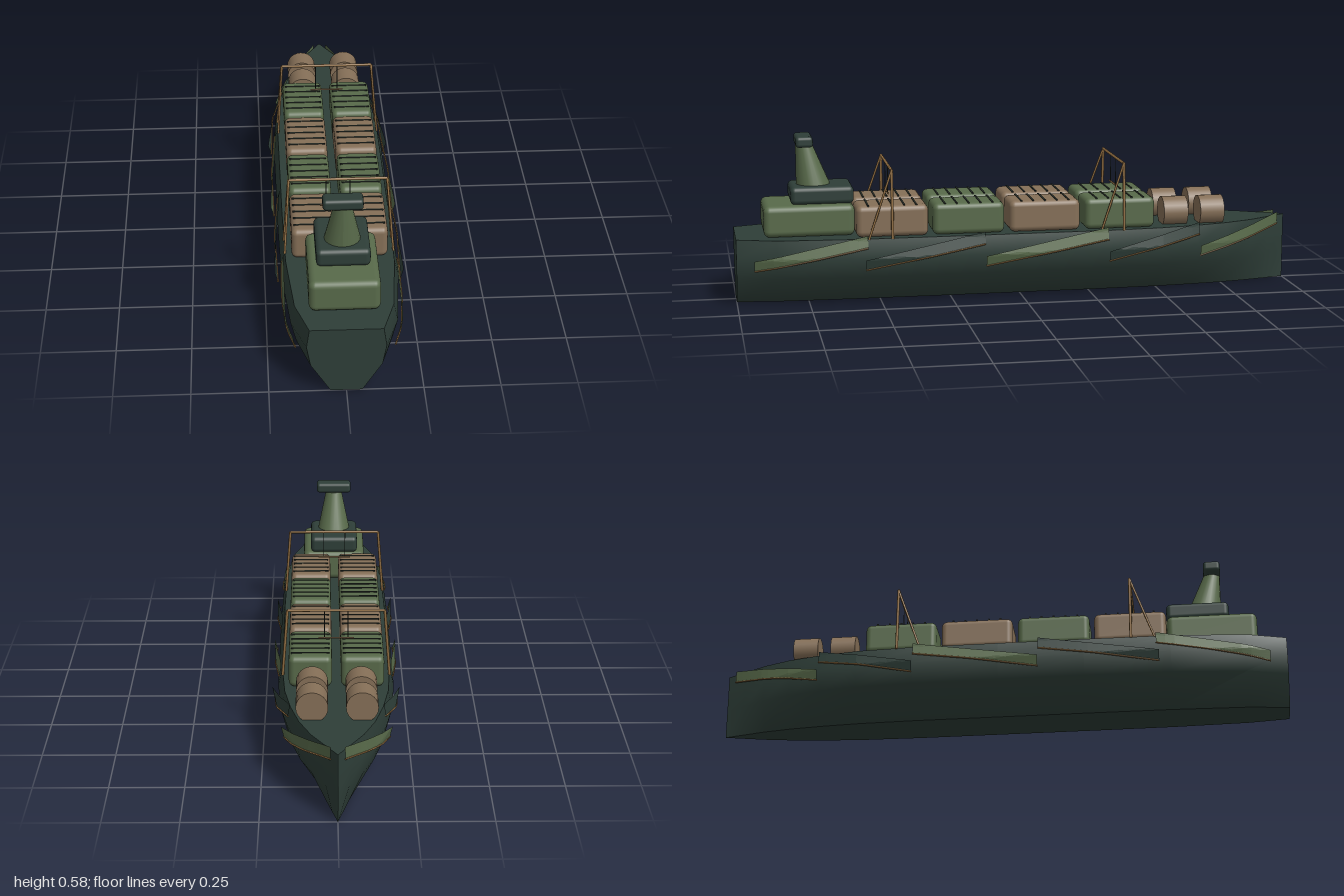
import * as THREE from 'three';
import { toCreasedNormals } from 'three/addons/utils/BufferGeometryUtils.js';
import { RoundedBoxGeometry } from 'three/addons/geometries/RoundedBoxGeometry.js';

const paint = (name, color) => {
  const m = new THREE.MeshStandardMaterial({ color, side: THREE.DoubleSide });
  m.name = name;
  return m;
};

// Hull section: [height, half width at full beam], and beam factor along z
const SECTION = [[0, 0.08], [0.1, 0.18], [0.17, 0.2], [0.235, 0.185]];
const BEAM = [[-1, 0.005], [-0.93, 0.22], [-0.85, 0.46], [-0.75, 0.67], [-0.63, 0.83], [-0.5, 0.94],
  [-0.3, 1], [0, 1], [0.3, 1], [0.6, 0.98], [0.86, 0.87], [1, 0.64]];

function lookup(table, v) {
  let i = 1;
  while (i < table.length - 1 && table[i][0] < v) i++;
  const [a, b] = [table[i - 1], table[i]];
  return THREE.MathUtils.mapLinear(Math.min(v, table[table.length - 1][0]), a[0], b[0], a[1], b[1]);
}
const halfWidth = (y, z) => lookup(SECTION, y) * lookup(BEAM, z);

// Surface through a grid of points, rows of equal length
function gridGeometry(rows, flip = false) {
  const n = rows[0].length, index = [];
  for (let r = 0; r < rows.length - 1; r++) {
    for (let c = 0; c < n - 1; c++) {
      const a = r * n + c, b = a + 1, d = a + n, e = d + 1;
      index.push(...(flip ? [a, d, b, b, d, e] : [a, b, d, b, e, d]));
    }
  }
  const g = new THREE.BufferGeometry();
  g.setAttribute('position', new THREE.Float32BufferAttribute(rows.flat(2), 3));
  g.setIndex(index);
  return g;
}

export function createModel() {
  const model = new THREE.Group();
  model.name = 'cargoShip';
  const dark = paint('hullDarkGreen', 0x2e3e38);
  const green = paint('mossGreen', 0x586a4a);
  const brown = paint('cargoBrown', 0x856f57);
  const trim = paint('trimBronze', 0x8f6c40);
  const line = paint('strapDark', 0x29302a);

  const add = (name, geometry, material, x = 0, y = 0, z = 0, parent = model) => {
    const m = new THREE.Mesh(geometry, material);
    m.name = name;
    m.position.set(x, y, z);
    parent.add(m);
    return m;
  };
  const block = (name, w, h, d, r, material, x, y, z) =>
    add(name, new RoundedBoxGeometry(w, h, d, 3, r), material, x, y + h / 2, z);
  const rod = (name, a, b, r, material, parent) => {
    const from = new THREE.Vector3(...a), to = new THREE.Vector3(...b);
    const dir = to.clone().sub(from);
    const m = add(name, new THREE.CylinderGeometry(r, r, dir.length(), 8), material, 0, 0, 0, parent);
    m.position.copy(from).add(to).multiplyScalar(0.5);
    m.quaternion.setFromUnitVectors(new THREE.Vector3(0, 1, 0), dir.normalize());
  };

  // Hull: closed section loops from bow to stern, then the flat stern
  const loops = BEAM.map(([z, f]) => {
    const right = SECTION.map(([y, w]) => [w * f, y, z]);
    const left = SECTION.map(([y, w]) => [-w * f, y, z]).reverse();
    return [...right, ...left, right[0]];
  });
  add('hull', toCreasedNormals(gridGeometry(loops), 0.6), dark);
  const stern = new THREE.Shape(loops[loops.length - 1].map(([x, y]) => new THREE.Vector2(x, y)));
  add('stern', new THREE.ShapeGeometry(stern), dark, 0, 0, 1);

  // Overlapping side plates, each flared at its aft end and edged below
  const plates = [[0.94, 0.55], [0.56, 0.14], [0.14, -0.3], [-0.3, -0.64], [-0.64, -0.97]];
  for (const side of [1, -1]) {
    plates.forEach(([z0, z1], i) => {
      const rows = [], edge = [];
      for (let k = 0; k <= 12; k++) {
        const t = k / 12, z = z0 + (z1 - z0) * t;
        const low = 0.13 + 0.075 * t, high = 0.167 + 0.08 * t;
        const flare = 0.005 + 0.017 * (1 - t);
        const row = [0, 0.25, 0.5, 0.75, 1].map((u) => {
          const y = low + (high - low) * u;
          return [side * (halfWidth(y, z) + flare), y, z];
        });
        rows.push(row);
        edge.push(new THREE.Vector3(...row[0]));
      }
      add('sidePlate', gridGeometry(rows, side > 0), i % 2 ? dark : green);
      add('plateEdge', new THREE.TubeGeometry(new THREE.CatmullRomCurve3(edge), 24, 0.003, 6), trim);
    });
  }

  // Cargo containers with straps over the top
  [-0.348, -0.078, 0.193, 0.461].forEach((z, i) => {
    for (const x of [-0.088, 0.088]) {
      block('container', 0.146, 0.11, 0.252, 0.02, i % 2 ? brown : green, x, 0.235, z);
      for (let k = -2; k <= 2; k++) {
        add('containerStrap', new THREE.BoxGeometry(0.13, 0.004, 0.006), line, x, 0.345, z + k * 0.042);
      }
    }
  });

  // Drums lying on the foredeck
  const drum = new THREE.CylinderGeometry(0.053, 0.053, 0.088, 24).rotateX(Math.PI / 2);
  for (const z of [-0.56, -0.694]) {
    for (const x of [-0.082, 0.082]) add('drum', drum, brown, x, 0.278, z);
  }

  // Deckhouse and bridge
  block('deckhouse', 0.232, 0.11, 0.316, 0.022, green, 0, 0.235, 0.745);
  block('bridge', 0.177, 0.062, 0.22, 0.017, dark, 0, 0.343, 0.697);

  // Funnel: tapered, with an upright aft side
  const funnel = new THREE.CylinderGeometry(0.03, 0.06, 0.14, 20, 1);
  const p = funnel.attributes.position;
  for (let i = 0; i < p.count; i++) p.setZ(i, p.getZ(i) + (p.getY(i) > 0 ? 0.03 : 0));
  funnel.computeVertexNormals();
  add('funnel', funnel, green, 0, 0.472, 0.722);
  block('funnelCap', 0.131, 0.038, 0.06, 0.012, dark, 0, 0.54, 0.754);

  // Gantries with braced legs and a hanging spreader
  for (const z of [0.464, -0.358]) {
    const gantry = new THREE.Group();
    gantry.name = 'gantry';
    model.add(gantry);
    rod('crossbeam', [-0.165, 0.47, z], [0.165, 0.47, z], 0.005, trim, gantry);
    for (const s of [-1, 1]) {
      rod('leg', [s * 0.165, 0.47, z], [s * 0.183, 0.233, z], 0.005, trim, gantry);
      rod('brace', [s * 0.165, 0.47, z], [s * 0.183, 0.233, z + 0.082], 0.004, trim, gantry);
      rod('cable', [s * 0.04, 0.47, z], [s * 0.04, 0.37, z], 0.0015, line, gantry);
    }
    rod('spreader', [-0.06, 0.37, z], [0.06, 0.37, z], 0.003, trim, gantry);
  }
  return model;
}
